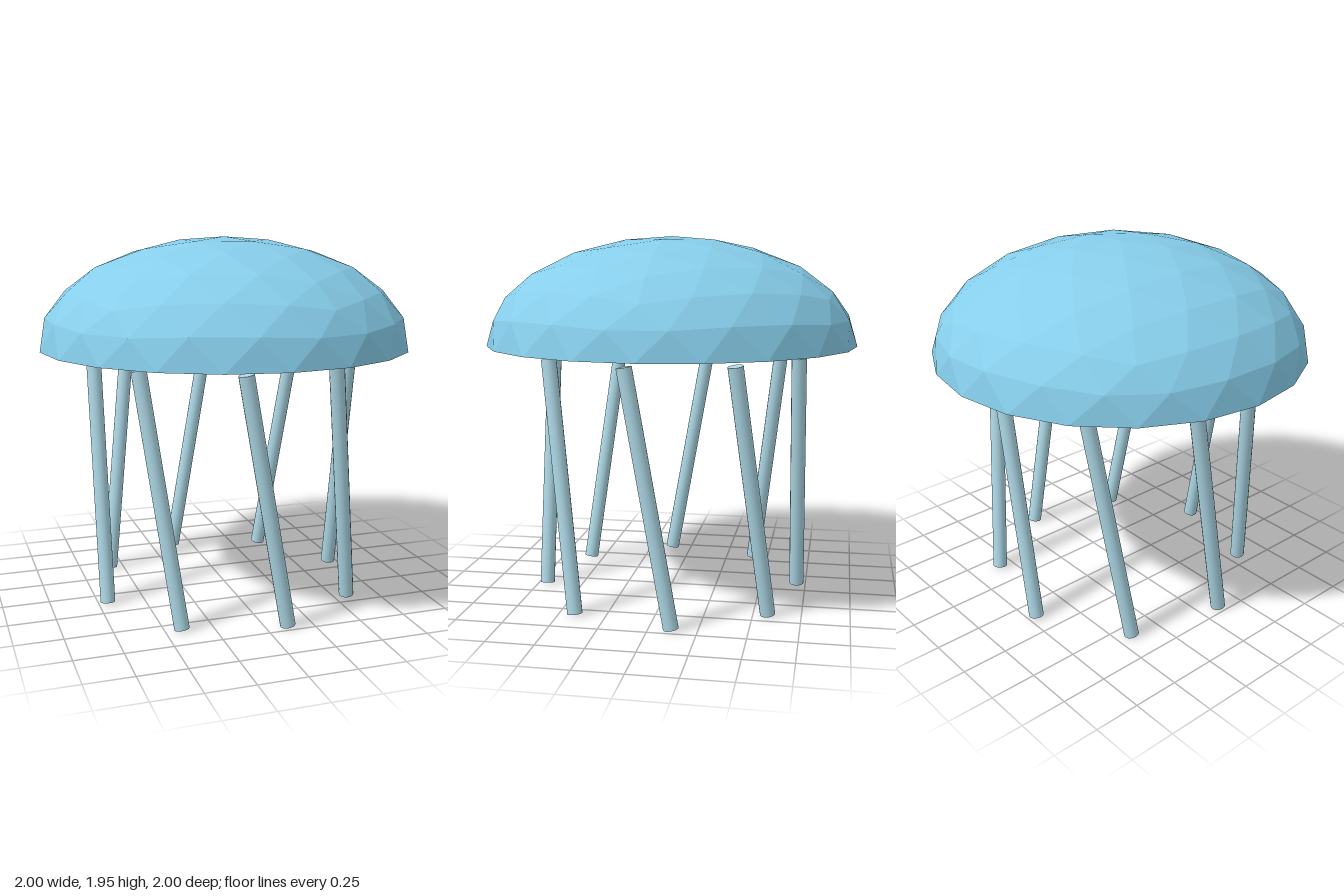
import * as THREE from 'three';

const RIM_Y = 1.37, DOME_HEIGHT = 0.58;
const TENTACLES = 8, RING_RADIUS = 0.7, TILT = THREE.MathUtils.degToRad(10);

// Upper half of a geodesic sphere, standing on one of its poles, squashed in height
function domeGeometry() {
  const sphere = new THREE.IcosahedronGeometry(1, 3);
  sphere.rotateZ(-Math.atan(2 / (1 + Math.sqrt(5))));
  const p = sphere.attributes.position;
  const kept = [];
  for (let i = 0; i < p.count; i += 3) {
    if (p.getY(i) + p.getY(i + 1) + p.getY(i + 2) < 0) continue;
    for (let k = i; k < i + 3; k++) kept.push(p.getX(k), p.getY(k), p.getZ(k));
  }
  const dome = new THREE.BufferGeometry();
  dome.setAttribute('position', new THREE.Float32BufferAttribute(kept, 3));
  dome.scale(1, DOME_HEIGHT, 1);
  dome.computeVertexNormals();
  return dome;
}

export function createModel() {
  const model = new THREE.Group();
  model.name = 'jellyfish';

  // Hollow, open bell
  const bell = new THREE.Mesh(domeGeometry(), new THREE.MeshStandardMaterial({
    color: 0x87ceeb, flatShading: true, side: THREE.DoubleSide,
  }));
  bell.name = 'bell';
  bell.position.y = RIM_Y;
  model.add(bell);

  // Ring of straight tentacles, each leaning along the ring
  const tentacleGeometry = new THREE.CylinderGeometry(0.04, 0.04, 1.33, 16);
  const tentacleMaterial = new THREE.MeshStandardMaterial({ color: 0xadd8e6 });
  const tentacles = new THREE.Group();
  tentacles.name = 'tentacles';
  for (let i = 0; i < TENTACLES; i++) {
    const pivot = new THREE.Group();
    pivot.name = `tentaclePivot${i + 1}`;
    pivot.rotation.y = (i / TENTACLES) * Math.PI * 2;
    const tentacle = new THREE.Mesh(tentacleGeometry, tentacleMaterial);
    tentacle.name = `tentacle${i + 1}`;
    tentacle.position.set(0, 0.663, RING_RADIUS);
    tentacle.rotation.z = TILT;
    pivot.add(tentacle);
    tentacles.add(pivot);
  }
  model.add(tentacles);

  return model;
}
